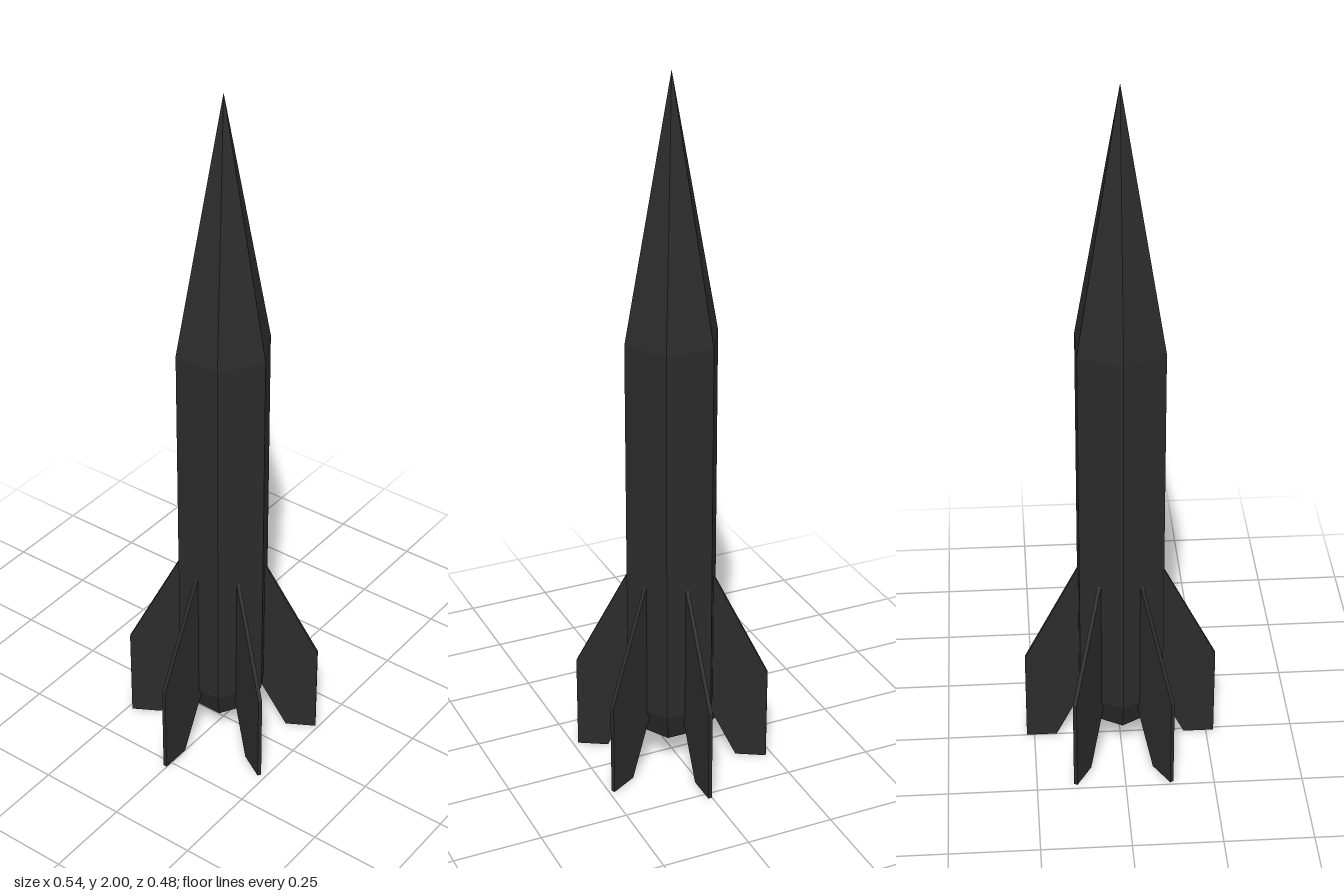
import * as THREE from 'three';

export function createModel() {
  const group = new THREE.Group();
  group.name = 'rocket';
  const charcoal = new THREE.MeshStandardMaterial({ color: 0x2b2b2b });
  charcoal.name = 'charcoal';
  const SIDES = 6;
  const R = 0.1355;

  // Six-sided hull section between two heights; corners point along z
  function section(name, y0, y1, r0, r1, openEnded) {
    const geo = new THREE.CylinderGeometry(r1, r0, y1 - y0, SIDES, 1, openEnded).toNonIndexed();
    geo.computeVertexNormals();
    const mesh = new THREE.Mesh(geo, charcoal);
    mesh.name = name;
    mesh.position.y = (y0 + y1) / 2;
    group.add(mesh);
  }
  section('tailCone', 0.1, 0.185, 0.102, R, false);
  section('body', 0.185, 1.28, R, R, true);
  section('noseCone', 1.28, 2, R, 0, true);

  // Swept fins, one on each flat of the hull, set slightly off the radial line
  const profile = new THREE.Shape([
    [0.1, 0.17], [0.185, 0], [0.272, 0], [0.272, 0.275], [0.117, 0.58], [0.1, 0.58],
  ].map(([x, y]) => new THREE.Vector2(x, y)));
  const finGeo = new THREE.ExtrudeGeometry(profile, { depth: 0.011, bevelEnabled: false });
  finGeo.translate(0, 0, 0.0007);
  for (let i = 0; i < SIDES; i++) {
    const fin = new THREE.Mesh(finGeo, charcoal);
    fin.name = `fin${i + 1}`;
    fin.rotation.y = (i * Math.PI * 2) / SIDES;
    group.add(fin);
  }
  return group;
}
